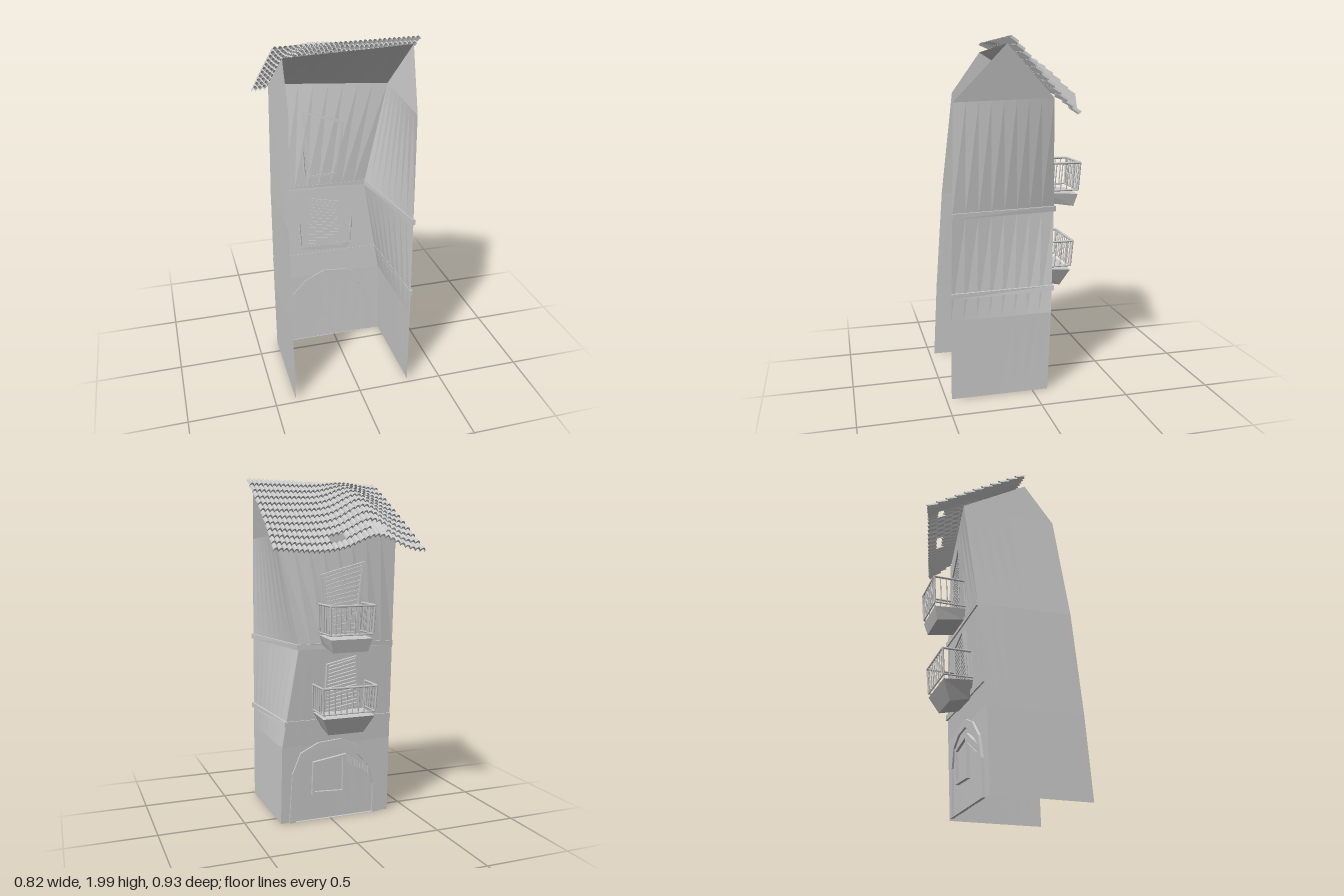
import * as THREE from 'three';

const mat = new THREE.MeshStandardMaterial({ color: 0xcccccc, side: THREE.DoubleSide });
const lerp = THREE.MathUtils.lerp;
const mix = (a, b, t) => a.map((v, i) => lerp(v, b[i], t));

function add(parent, name, geometry) {
  const mesh = new THREE.Mesh(geometry, mat);
  mesh.name = name;
  parent.add(mesh);
  return mesh;
}

function group(parent, name) {
  const g = new THREE.Group();
  g.name = name;
  parent.add(g);
  return g;
}

function fromQuads(quads) {
  const pos = [];
  for (const [a, b, c, d] of quads) pos.push(...a, ...b, ...c, ...a, ...c, ...d);
  const geo = new THREE.BufferGeometry();
  geo.setAttribute('position', new THREE.Float32BufferAttribute(pos, 3));
  geo.computeVertexNormals();
  return geo;
}

// Sheet between two edge polylines, subdivided across
function sheet(left, right, n = 8) {
  const quads = [];
  for (let i = 0; i < left.length - 1; i++)
    for (let j = 0; j < n; j++) {
      const p = (k, t) => mix(left[k], right[k], t / n);
      quads.push([p(i, j), p(i, j + 1), p(i + 1, j + 1), p(i + 1, j)]);
    }
  return fromQuads(quads);
}

// Solid between two four-cornered faces
function prism(a, b) {
  const quads = [a, [...b].reverse()];
  for (let i = 0; i < 4; i++) {
    const j = (i + 1) % 4;
    quads.push([a[i], b[i], b[j], a[j]]);
  }
  return fromQuads(quads);
}

// Round bar between two points
function bar(parent, name, p, q, r) {
  const a = new THREE.Vector3(...p), b = new THREE.Vector3(...q);
  const mesh = add(parent, name, new THREE.CylinderGeometry(r, r, a.distanceTo(b), 6));
  mesh.position.copy(a).add(b).multiplyScalar(0.5);
  mesh.quaternion.setFromUnitVectors(new THREE.Vector3(0, 1, 0), b.sub(a).normalize());
}

// Bent corner edges of the facade and front edges of the side walls
const cornerR = [[-0.38, 0, -0.09], [-0.38, 0.46, -0.105], [-0.37, 1.04, -0.15], [-0.345, 1.68, -0.23]];
const cornerL = [[0.305, 0, -0.09], [0.3, 0.46, -0.11], [0.21, 1.04, -0.15], [0.33, 1.67, -0.11]];
const frontR = [[-0.38, 0, 0.47], [-0.38, 0.46, 0.445], [-0.376, 1.06, 0.4], [-0.345, 1.68, 0.33]];
const frontL = [[0.305, 0, 0.47], [0.305, 0.46, 0.465], [0.305, 1.04, 0.45], [0.305, 1.65, 0.435]];
const apexR = [-0.335, 1.92, 0.16], apexL = [0.375, 1.95, 0.16];

function edgeAt(edge, y) {
  let i = 0;
  while (i < 2 && y > edge[i + 1][1]) i++;
  return mix(edge[i], edge[i + 1], (y - edge[i][1]) / (edge[i + 1][1] - edge[i][1]));
}

// Point on the facade at x, y, moved by dz
function onFacade([x, y], dz) {
  const a = edgeAt(cornerR, y), b = edgeAt(cornerL, y);
  return [x, y, lerp(a[2], b[2], (x - a[0]) / (b[0] - a[0])) + dz];
}
const panel = (parent, name, c, z0, z1) =>
  add(parent, name, prism(c.map(p => onFacade(p, z0)), c.map(p => onFacade(p, z1))));

// Crooked frame and cross slats in a four-cornered opening (bl, br, tr, tl)
function framed(parent, name, c, w, z0, z1, slats) {
  const g = group(parent, name);
  const mid = [0, 1].map(k => (c[0][k] + c[1][k] + c[2][k] + c[3][k]) / 4);
  const inner = c.map(p => p.map((v, k) => v + Math.sign(mid[k] - v) * w));
  for (let i = 0; i < 4; i++) {
    const j = (i + 1) % 4;
    panel(g, 'frame', [c[i], c[j], inner[j], inner[i]], z0, z1);
  }
  for (let i = 0; i < slats; i++) {
    const t0 = i / slats, t1 = (i + 0.7) / slats;
    panel(g, 'slat', [mix(inner[0], inner[3], t0), mix(inner[1], inner[2], t0),
      mix(inner[1], inner[2], t1), mix(inner[0], inner[3], t1)], z0 * 0.75, z1 * 0.6);
  }
}

// Balcony: tapered slab, rails and balusters
function balcony(parent, name, { x0, x1, zw, zo, floor, base, top, inset }) {
  const g = group(parent, name);
  add(g, 'slab', prism(
    [[x0, floor, zw], [x1, floor, zw], [x1, floor - 0.01, zo], [x0, floor - 0.01, zo]],
    [[x0 + inset, base + 0.025, zw], [x1 - inset, base + 0.025, zw],
      [x1 - inset, base, zo + inset], [x0 + inset, base, zo + inset]]));
  const plan = [[x0, zw], [x0, zo], [x1, zo], [x1, zw]];
  const lean = 0.012;
  const low = ([x, z]) => [x, floor + 0.015, z];
  const high = ([x, z]) => [x + (x > (x0 + x1) / 2 ? lean : -lean) * 0.5, top, z - lean];
  for (let i = 0; i < 3; i++) {
    const a = plan[i], b = plan[i + 1], n = i === 1 ? 9 : 5;
    bar(g, 'handrail', high(a), high(b), 0.007);
    bar(g, 'lowerRail', low(a), low(b), 0.005);
    for (let k = 0; k <= n; k++)
      bar(g, 'baluster', mix(low(a), low(b), k / n), mix(high(a), high(b), k / n), k % n ? 0.0035 : 0.006);
  }
}

// Warped roof surface: u runs along the ridge, v from ridge to eave
function roofPoint(u, v, lift) {
  const hump = Math.exp(-(((u - 0.3) / 0.17) ** 2)) * (0.08 * v + 0.06 * Math.sin(Math.PI * v));
  const wave = 0.006 * Math.sin(u * 11 + v * 3) * v;
  const right = 0.415 - 0.035 * v - 0.012 * Math.sin(v * Math.PI);
  return [lerp(-0.38 - 0.03 * v, right, u),
    lerp(1.965 + 0.012 * u, 1.57, v) + hump + wave + lift * 0.8,
    lerp(0.155, lerp(-0.45, -0.23, u), v) - lift * 0.6];
}

function tileRow(row, rows, cols, seg) {
  const quads = [], v0 = row / rows, v1 = (row + 1) / rows;
  const missing = c => row === rows - 2 && ((c >= 7 && c <= 9) || (c >= 15 && c <= 17));
  for (let c = 0; c < cols; c++) {
    if (missing(c)) continue;
    for (let s = 0; s < seg; s++) {
      const p = (k, v, lap) => roofPoint((c + k / seg) / cols, v,
        0.017 * Math.sin(Math.PI * k / seg) ** 0.8 + lap);
      quads.push([p(s, v0, 0), p(s + 1, v0, 0), p(s + 1, v1, 0.012), p(s, v1, 0.012)]);
      quads.push([p(s, v1, 0.012), p(s + 1, v1, 0.012), p(s + 1, v1, 0), p(s, v1, 0)]);
    }
  }
  return fromQuads(quads);
}

export function createModel() {
  const house = new THREE.Group();
  house.name = 'crookedHouse';

  // Shell, open towards +z
  add(house, 'facade', sheet(cornerR, cornerL));
  add(house, 'rightWall', sheet([...frontR, apexR], [...cornerR, apexR]));
  add(house, 'leftWall', sheet([...frontL, apexL], [...cornerL, apexL]));
  add(house, 'ceiling', sheet([cornerR[3], apexR], [cornerL[3], apexL]));

  // Storey bands on the left wall and the facade
  for (const y of [0.585, 1.03]) {
    const ring = (edge, dx, dz) => [y, y + 0.03].map(h => {
      const p = edgeAt(edge, h);
      return [p[0] + dx, h, p[2] + dz];
    });
    const loop = ([a, b], [c, d]) => [a, c, d, b];
    add(house, 'wallBand', prism(loop(ring(frontL, -0.004, 0), ring(frontL, 0.012, 0)),
      loop(ring(cornerL, -0.004, -0.01), ring(cornerL, 0.012, -0.01))));
    add(house, 'facadeBand', prism(loop(ring(cornerR, 0, 0.002), ring(cornerR, 0, -0.009)),
      loop(ring(cornerL, 0, 0.002), ring(cornerL, 0, -0.009))));
  }

  // Shuttered balcony doors
  const upper = [[-0.135, 1.11], [0.04, 1.115], [0.08, 1.45], [-0.165, 1.52]];
  const lower = [[-0.165, 0.675], [0.055, 0.645], [0.045, 0.94], [-0.14, 0.98]];
  framed(house, 'upperShutter', upper, 0.014, -0.022, 0.004, 0);
  framed(house, 'upperLouvres', upper, 0.014, -0.02, -0.003, 14);
  framed(house, 'lowerShutter', lower, 0.01, -0.022, 0.006, 13);

  balcony(house, 'upperBalcony',
    { x0: -0.16, x1: 0.09, zw: -0.155, zo: -0.335, floor: 1.11, base: 1.025, top: 1.285, inset: 0.02 });
  balcony(house, 'lowerBalcony',
    { x0: -0.2, x1: 0.115, zw: -0.12, zo: -0.285, floor: 0.66, base: 0.545, top: 0.825, inset: 0.05 });

  // Arched surround of the ground floor
  const outline = [[-0.31, 0], [-0.31, 0.2], [-0.275, 0.33], [-0.18, 0.43], [-0.06, 0.485],
    [0.08, 0.475], [0.19, 0.42], [0.24, 0.3], [0.255, 0]];
  const arch = new THREE.Shape(outline.map(([x, y]) => new THREE.Vector2(x, y)));
  arch.holes.push(new THREE.Path(outline.map(([x, y]) =>
    new THREE.Vector2((x + 0.03) * 0.87 - 0.03, y * 0.9 + 0.002))));
  const surround = add(house, 'archSurround',
    new THREE.ExtrudeGeometry(arch, { depth: 0.018, bevelEnabled: false }));
  surround.position.z = -0.104;
  surround.rotation.x = -0.035;

  // Ground-floor window with a slanting louvre beside it
  framed(house, 'groundWindow', [[-0.09, 0.15], [0.12, 0.16], [0.115, 0.36], [-0.09, 0.39]], 0.018, -0.02, 0, 0);
  panel(house, 'windowPane', [[-0.08, 0.16], [0.11, 0.17], [0.105, 0.35], [-0.08, 0.375]], -0.005, -0.001);
  framed(house, 'slantedLouvre', [[-0.265, 0.235], [-0.09, 0.345], [-0.09, 0.395], [-0.265, 0.285]], 0.006, -0.018, 0, 0);
  for (let i = 1; i < 10; i++) {
    const x = -0.265 + i * 0.0175, y = 0.235 + i * 0.011;
    panel(house, 'louvreSlat', [[x, y], [x + 0.008, y + 0.005], [x + 0.008, y + 0.05], [x, y + 0.045]], -0.014, 0);
  }

  // Sagging tiled roof
  const roof = group(house, 'tiledRoof');
  for (let r = 0; r < 11; r++) add(roof, 'tileRow', tileRow(r, 11, 30, 6));

  return house;
}
